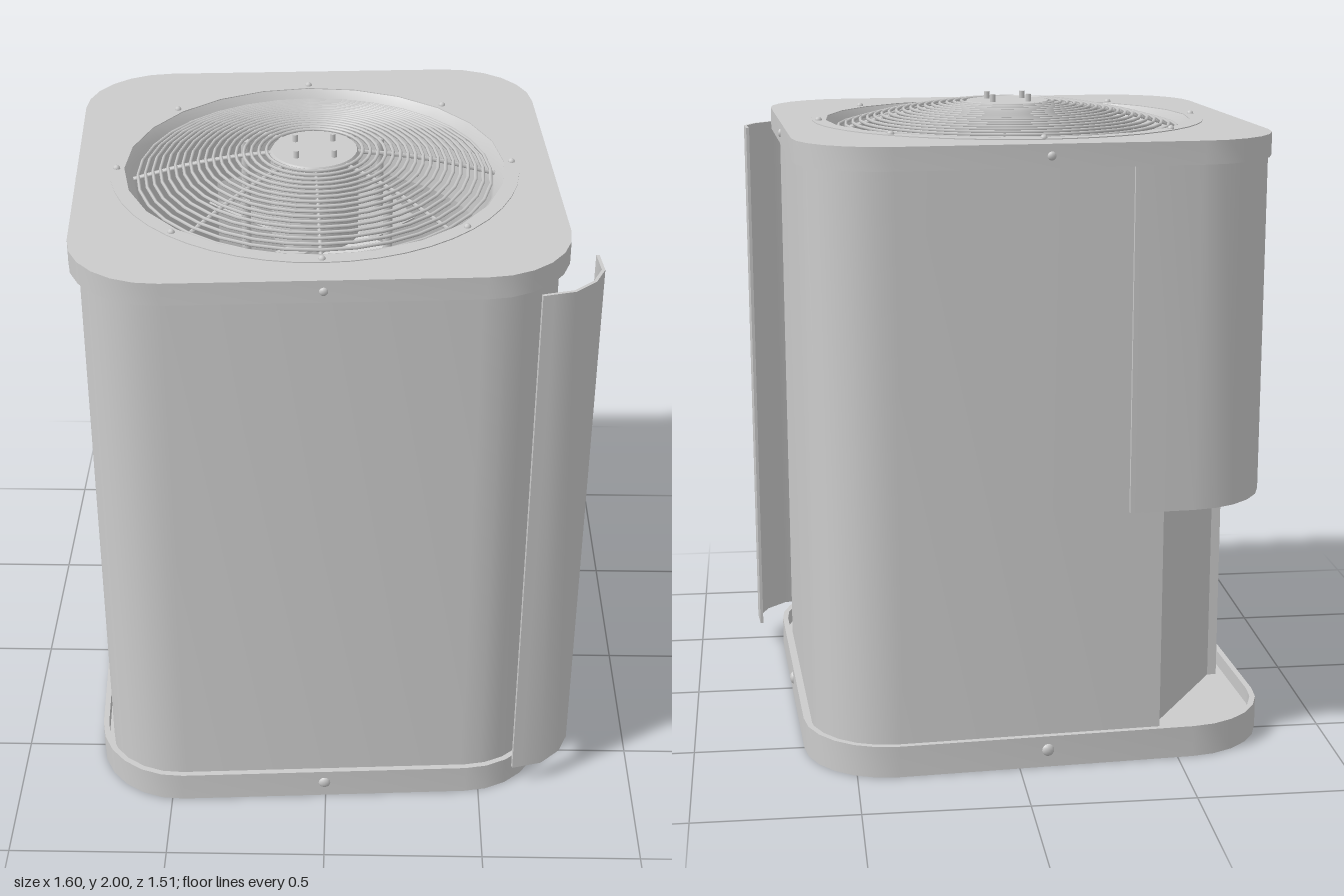
import * as THREE from 'three';
import { toCreasedNormals } from 'three/addons/utils/BufferGeometryUtils.js';

const grey = new THREE.MeshStandardMaterial({ color: 0xcccccc });
const thin = new THREE.MeshStandardMaterial({ color: 0xcccccc, side: THREE.DoubleSide });
const V = (x, z) => new THREE.Vector2(x, z);

function add(parent, name, geometry, material = grey) {
  const mesh = new THREE.Mesh(geometry, material);
  mesh.name = name;
  parent.add(mesh);
  return mesh;
}

// One rounded corner of a square of half size h; k counts quarter turns in the xz plane
function corner(k, h, r, n = 6) {
  const sx = k === 0 || k === 3 ? 1 : -1, sz = k < 2 ? 1 : -1;
  return Array.from({ length: n + 1 }, (_, i) => {
    const a = (k + i / n) * Math.PI / 2;
    return V(sx * (h - r) + r * Math.cos(a), sz * (h - r) + r * Math.sin(a));
  });
}
const square = (h, r) => [0, 1, 2, 3].flatMap(k => corner(k, h, r));

// Upright extrusion of an xz outline between two heights
function slab(points, y0, y1, hole) {
  const shape = new THREE.Shape(points);
  if (hole) shape.holes.push(new THREE.Path(hole));
  const g = new THREE.ExtrudeGeometry(shape, { depth: y1 - y0, bevelEnabled: false });
  g.rotateX(Math.PI / 2).translate(0, y1, 0);
  return toCreasedNormals(g, 0.5);
}

// Upright sheet of thickness t along an xz path
function sheet(path, t, y0, y1) {
  const inner = path.map((p, i) => {
    const a = path[Math.max(0, i - 1)], b = path[Math.min(path.length - 1, i + 1)];
    const d = b.clone().sub(a).normalize();
    return V(p.x - d.y * t, p.y + d.x * t);
  });
  return slab([...path, ...inner.reverse()], y0, y1);
}

const circle = (r, n) => Array.from({ length: n }, (_, i) =>
  V(r * Math.cos(i / n * 2 * Math.PI), r * Math.sin(i / n * 2 * Math.PI)));
const domeY = r => 1.98 - 0.28 * r * r;

export function createModel() {
  const model = new THREE.Group();
  const unit = new THREE.Group();
  unit.name = 'condenserUnit';
  unit.position.x = -0.046;
  unit.rotation.y = 0.058;
  model.add(unit);

  // Base pan with raised lip
  add(unit, 'baseFloor', slab(square(0.728, 0.27), 0, 0.05));
  add(unit, 'baseLip', slab(square(0.73, 0.27), 0, 0.1, square(0.712, 0.252)));

  // Cabinet wall, cut back diagonally at the service corner
  const wall = [
    V(-0.32, -0.66), V(-0.36, -0.698), ...corner(3, 0.698, 0.25), ...corner(0, 0.698, 0.25),
    ...corner(1, 0.698, 0.25), V(-0.698, -0.06), V(-0.685, -0.06), V(-0.685, -0.2),
    V(-0.655, -0.2), V(-0.32, -0.655)];
  add(unit, 'cabinetWall', sheet(wall, 0.008, 0.05, 1.86), thin);
  for (let i = 0; i < 6; i++) {
    const s = add(unit, 'valveStripScrew', new THREE.CylinderGeometry(0.008, 0.008, 0.01, 8));
    s.rotation.z = Math.PI / 2;
    s.position.set(-0.688, 0.14 + i * 0.11, -0.15);
  }

  // Upper cover over the service corner
  add(unit, 'serviceCover',
    sheet([V(-0.718, -0.06), ...corner(2, 0.718, 0.27), V(-0.25, -0.718)], 0.012, 0.8, 1.85), thin);

  // Lid with fan opening
  add(unit, 'lid', slab(square(0.726, 0.27), 1.85, 1.92, circle(0.582, 24)));
  add(unit, 'mountingRing', slab(circle(0.625, 48), 1.915, 1.923, circle(0.582, 24)));
  add(unit, 'fanShroud', new THREE.LatheGeometry(
    [V(0.583, 1.922), V(0.555, 1.88), V(0.545, 1.84), V(0.545, 1.65)], 24), thin);

  // Domed wire grille
  const grille = new THREE.Group();
  grille.name = 'fanGrille';
  unit.add(grille);
  for (let i = 0; i < 18; i++) {
    const r = 0.147 + i * 0.0232;
    const ring = add(grille, 'grilleRing', new THREE.TorusGeometry(r, 0.0055, 5, 32));
    ring.rotation.x = Math.PI / 2;
    ring.position.y = domeY(r);
  }
  for (let i = 0; i < 8; i++) {
    const path = new THREE.CatmullRomCurve3([0.12, 0.25, 0.4, 0.555].map(
      r => new THREE.Vector3(r, domeY(r) - 0.008, 0)));
    add(grille, 'grilleSpoke', new THREE.TubeGeometry(path, 8, 0.007, 5)).rotation.y = i * Math.PI / 4;
    const screw = add(unit, 'ringScrew', new THREE.SphereGeometry(0.011, 8, 6));
    const a = i * Math.PI / 4;
    screw.position.set(0.605 * Math.cos(a), 1.923, 0.605 * Math.sin(a));
  }

  // Hub plate, motor and fan
  add(grille, 'hubPlate', new THREE.CylinderGeometry(0.13, 0.138, 0.014, 32)).position.y = 1.97;
  add(unit, 'fanMotor', new THREE.CylinderGeometry(0.135, 0.135, 0.27, 32)).position.y = 1.83;
  add(unit, 'fanHub', new THREE.CylinderGeometry(0.07, 0.07, 0.1, 20)).position.y = 1.66;
  for (let i = 0; i < 4; i++) {
    const a = Math.PI / 4 + i * Math.PI / 2, c = Math.cos(a), s = Math.sin(a);
    add(grille, 'hubBolt', new THREE.CylinderGeometry(0.009, 0.009, 0.03, 10))
      .position.set(c * 0.081, 1.985, s * 0.081);
    add(unit, 'motorRod', new THREE.CylinderGeometry(0.014, 0.014, 0.24, 8))
      .position.set(c * 0.3, 1.79, s * 0.3);
    const arm = new THREE.Group();
    arm.rotation.y = a;
    unit.add(arm);
    const blade = add(arm, 'fanBlade', new THREE.BoxGeometry(0.33, 0.008, 0.18));
    blade.position.set(0.22, 1.66, 0);
    blade.rotation.x = 0.4;
  }

  // Cabinet screws at the middle of each side
  for (let i = 0; i < 4; i++) {
    const a = i * Math.PI / 2;
    for (const [y, r, d] of [[0.055, 0.02, 0.728], [1.885, 0.013, 0.726]]) {
      const s = add(unit, 'sideScrew', new THREE.SphereGeometry(r, 12, 8));
      s.scale.set(i % 2 ? 1 : 0.6, 1, i % 2 ? 0.6 : 1);
      s.position.set(d * Math.cos(a), y, d * Math.sin(a));
    }
  }

  // Loose curved corner panel standing off the front left corner
  const panel = [V(0.79, 0.43), V(0.798, 0.52), V(0.768, 0.59), V(0.705, 0.65), V(0.64, 0.668), V(0.61, 0.677)];
  add(model, 'cornerPanel', sheet(panel, 0.01, 0.08, 1.85), thin);

  return model;
}
